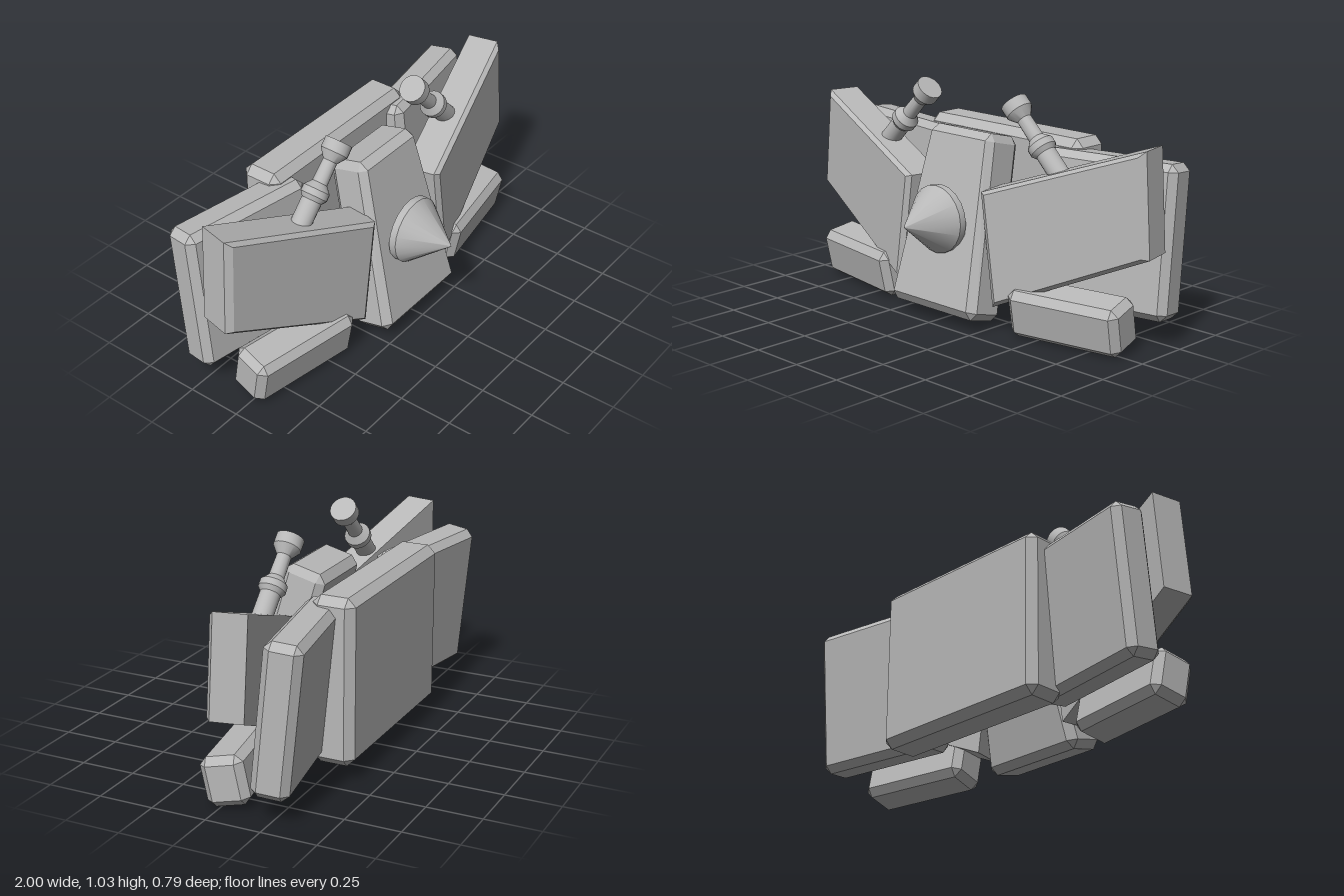
import * as THREE from 'three';
import { toCreasedNormals } from 'three/addons/utils/BufferGeometryUtils.js';
import { ConvexGeometry } from 'three/addons/geometries/ConvexGeometry.js';

const V = (x, y, z) => new THREE.Vector3(x, y, z);

// Box with chamfered edges; taper narrows x towards the top
function chamferBox(w, h, d, c, taper = 1) {
  const points = [];
  for (const sx of [-1, 1]) for (const sy of [-1, 1]) for (const sz of [-1, 1]) {
    for (let axis = 0; axis < 3; axis++) {
      const p = [w / 2, h / 2, d / 2].map((half, i) => (i === axis ? half : half - c));
      const k = 1 + (taper - 1) * (sy * p[1] / h + 0.5);
      points.push(V(sx * p[0] * k, sy * p[1], sz * p[2]));
    }
  }
  return new ConvexGeometry(points);
}

// Round part turned from a profile, with sharp steps kept
function turned(profile, sides) {
  const geometry = new THREE.LatheGeometry(profile.map(([r, y]) => new THREE.Vector2(r, y)), sides);
  return toCreasedNormals(geometry, 0.6);
}

// Slanted four-sided plate with a bevelled front
function wingPlate(side) {
  const outline = [[0.965, 0.887], [1.0, 0.44], [0.285, 0.12], [0.215, 0.62]];
  const cx = 0.616, cy = 0.517;
  const frontZ = (x, y) => 0.165 - 0.225 * (x - 0.27) - 0.03 * (y - 0.12);
  const points = [];
  for (const [x, y] of outline) {
    const ix = x + (cx - x) * 0.07, iy = y + (cy - y) * 0.07;
    points.push(V(side * ix, iy, frontZ(ix, iy)));
    points.push(V(side * x, y, frontZ(x, y) - 0.02));
    points.push(V(side * (x - 0.03), y, frontZ(x, y) - 0.16));
  }
  return new ConvexGeometry(points);
}

export function createModel() {
  const model = new THREE.Group();
  const grey = new THREE.MeshStandardMaterial({ color: 0xb8b8b8 });
  grey.name = 'plain grey';

  function add(name, geometry, position = [0, 0, 0], rotation = [0, 0, 0]) {
    const mesh = new THREE.Mesh(geometry, grey);
    mesh.name = name;
    mesh.position.set(...position);
    mesh.rotation.set(...rotation, 'YXZ');
    model.add(mesh);
  }

  // Centre: leaning tapered block, spike and back plate
  add('centreBlock', chamferBox(0.53, 0.81, 0.2, 0.035, 0.7), [0, 0.44, 0.06], [-0.25, 0, 0]);
  add('spike', turned([[0, 0], [0.152, 0], [0.152, 0.033], [0.012, 0.21], [0, 0.225]], 20),
    [0, 0.47, 0.17], [Math.PI / 2, 0, 0]);
  add('backPlate', chamferBox(0.92, 0.745, 0.195, 0.036), [0, 0.453, -0.297]);

  // Parts repeated on both sides
  const barrel = [[0, 0], [0.045, 0], [0.045, 0.13], [0.06, 0.15], [0.06, 0.18], [0.034, 0.21],
    [0.032, 0.31], [0.061, 0.35], [0.061, 0.4], [0, 0.4]];
  for (const side of [1, -1]) {
    const label = side > 0 ? 'left' : 'right';
    add(label + 'Wing', wingPlate(side));
    add(label + 'RearPanel', chamferBox(0.63, 0.67, 0.165, 0.032),
      [side * 0.635, 0.45, -0.235], [-0.1, side * 0.17, 0]);
    add(label + 'Foot', chamferBox(0.54, 0.22, 0.19, 0.032),
      [side * 0.63, 0.128, 0.02], [0.2, side * 0.17, 0]);
    add(label + 'Barrel', turned(barrel, 20), [side * 0.537, 0.707, -0.013], [0, 0, side * 0.775]);
  }
  return model;
}
